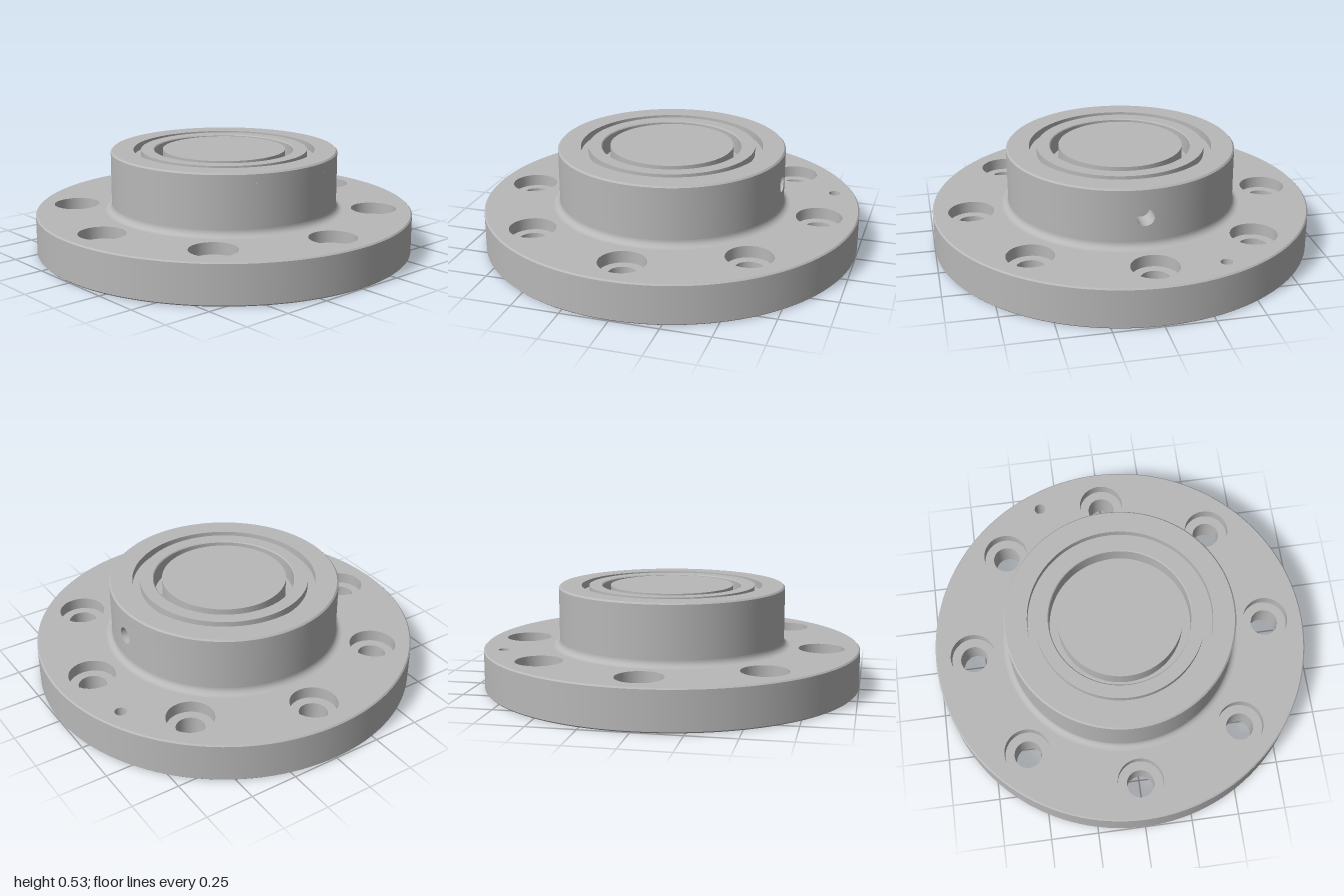
import * as THREE from 'three';

const SEG = 128;
const HUB_R = 0.6, PORT_Y = 0.375, PORT_R = 0.045, PATCH = 0.1;

export function createModel() {
  const steel = new THREE.MeshStandardMaterial({ color: 0xb8b8b8 });
  steel.name = 'machined grey';
  const model = new THREE.Group();
  model.name = 'flangedHub';

  const add = (name, geometry, parent = model) => {
    const mesh = new THREE.Mesh(geometry, steel);
    mesh.name = name;
    parent.add(mesh);
    return mesh;
  };
  const turned = (points, seg = SEG, start = 0, length = Math.PI * 2) =>
    new THREE.LatheGeometry(points.map(([r, y]) => new THREE.Vector2(r, y)), seg, start, length);
  // Hard-edged turned surface: every straight run of the profile is its own mesh
  const turnedSharp = (name, points, seg = SEG) => {
    const group = new THREE.Group();
    group.name = name;
    for (let i = 1; i < points.length; i++) {
      add(name + 'Face', turned([points[i - 1], points[i]], seg), group);
    }
    model.add(group);
    return group;
  };
  // Flat ring pierced by round holes given as [x, y, radius]
  const piercedRing = (outer, inner, holes) => {
    const shape = new THREE.Shape();
    shape.absarc(0, 0, outer, 0, Math.PI * 2);
    for (const [x, y, r] of [[0, 0, inner], ...holes]) {
      const hole = new THREE.Path();
      hole.absarc(x, y, r, 0, Math.PI * 2, true);
      shape.holes.push(hole);
    }
    return new THREE.ShapeGeometry(shape, 64);
  };

  // Bolt circle and dowel hole
  const bolts = [];
  for (let i = 0; i < 8; i++) {
    const a = (i * Math.PI) / 4;
    bolts.push([0.8 * Math.cos(a), 0.8 * Math.sin(a)]);
  }
  const pin = [0.825, 0.345, 0.03];

  // Flange faces and rim
  add('flangeTop', piercedRing(0.993, 0.635, [...bolts.map(([x, y]) => [x, y, 0.12]), pin])
    .rotateX(-Math.PI / 2)).position.y = 0.212;
  add('flangeBottom', piercedRing(0.993, 0.68, bolts.map(([x, y]) => [x, y, 0.072]))
    .rotateX(Math.PI / 2));
  turnedSharp('flangeRim', [[0.993, 0], [1, 0.007], [1, 0.205], [0.993, 0.212]]);

  // Counterbored bolt holes, running down the walls
  const boltProfile = [[0.12, 0.212], [0.12, 0.15], [0.072, 0.15], [0.072, 0]];
  for (const [x, y] of bolts) {
    turnedSharp('boltHole', boltProfile, 48).position.set(x, 0, -y);
  }
  turnedSharp('dowelHole', [[0.03, 0.212], [0.03, 0.1], [0, 0.1]], 32)
    .position.set(pin[0], 0, -pin[1]);

  // Annular recess and centre boss on the underside
  turnedSharp('undersideRecess', [[0, 0], [0.51, 0], [0.51, 0.04], [0.68, 0.04], [0.68, 0]]);

  // Fillet from the flange into the hub
  const fillet = [];
  for (let i = 0; i <= 8; i++) {
    const a = (i / 8) * Math.PI / 2;
    fillet.push([0.635 - 0.035 * Math.sin(a), 0.247 - 0.035 * Math.cos(a)]);
  }
  add('hubFillet', turned(fillet));

  // Hub wall, left open around the side port
  const low = PORT_Y - PATCH, high = PORT_Y + PATCH, gap = PATCH / HUB_R;
  add('hubWallLower', turned([[HUB_R, 0.247], [HUB_R, low]]));
  add('hubWallMiddle', turned([[HUB_R, low], [HUB_R, high]], SEG, Math.PI / 2 + gap, Math.PI * 2 - 2 * gap));
  add('hubWallUpper', turned([[HUB_R, high], [HUB_R, 0.522]]));

  // Curved square patch with the round port opening
  const patch = new THREE.RingGeometry(PORT_R, PATCH, 64, 4);
  const pos = patch.attributes.position, nor = patch.attributes.normal;
  for (let i = 0; i < pos.count; i++) {
    const x = pos.getX(i), y = pos.getY(i), r = Math.hypot(x, y);
    const t = (r - PORT_R) / (PATCH - PORT_R);
    const k = 1 + t * (r / Math.max(Math.abs(x), Math.abs(y)) - 1);
    const a = (x * k) / HUB_R;
    pos.setXYZ(i, HUB_R * Math.cos(a), PORT_Y + y * k, -HUB_R * Math.sin(a));
    nor.setXYZ(i, Math.cos(a), 0, -Math.sin(a));
  }
  add('portSurround', patch);

  // Blind side port, turned about y and laid along +x
  const port = turnedSharp('sidePort', [[PORT_R, 0.5985], [PORT_R, 0.49], [0, 0.49]], 48);
  port.rotation.z = -Math.PI / 2;
  port.position.y = PORT_Y;

  // Hub top: chamfer, shallow seal groove, deep groove and centre disc
  turnedSharp('hubTop', [
    [0.6, 0.522], [0.592, 0.53], [0.48, 0.53], [0.48, 0.49], [0.44, 0.49], [0.44, 0.53],
    [0.373, 0.53], [0.368, 0.525], [0.368, 0.43], [0.325, 0.43], [0.325, 0.53], [0, 0.53],
  ]);

  return model;
}
